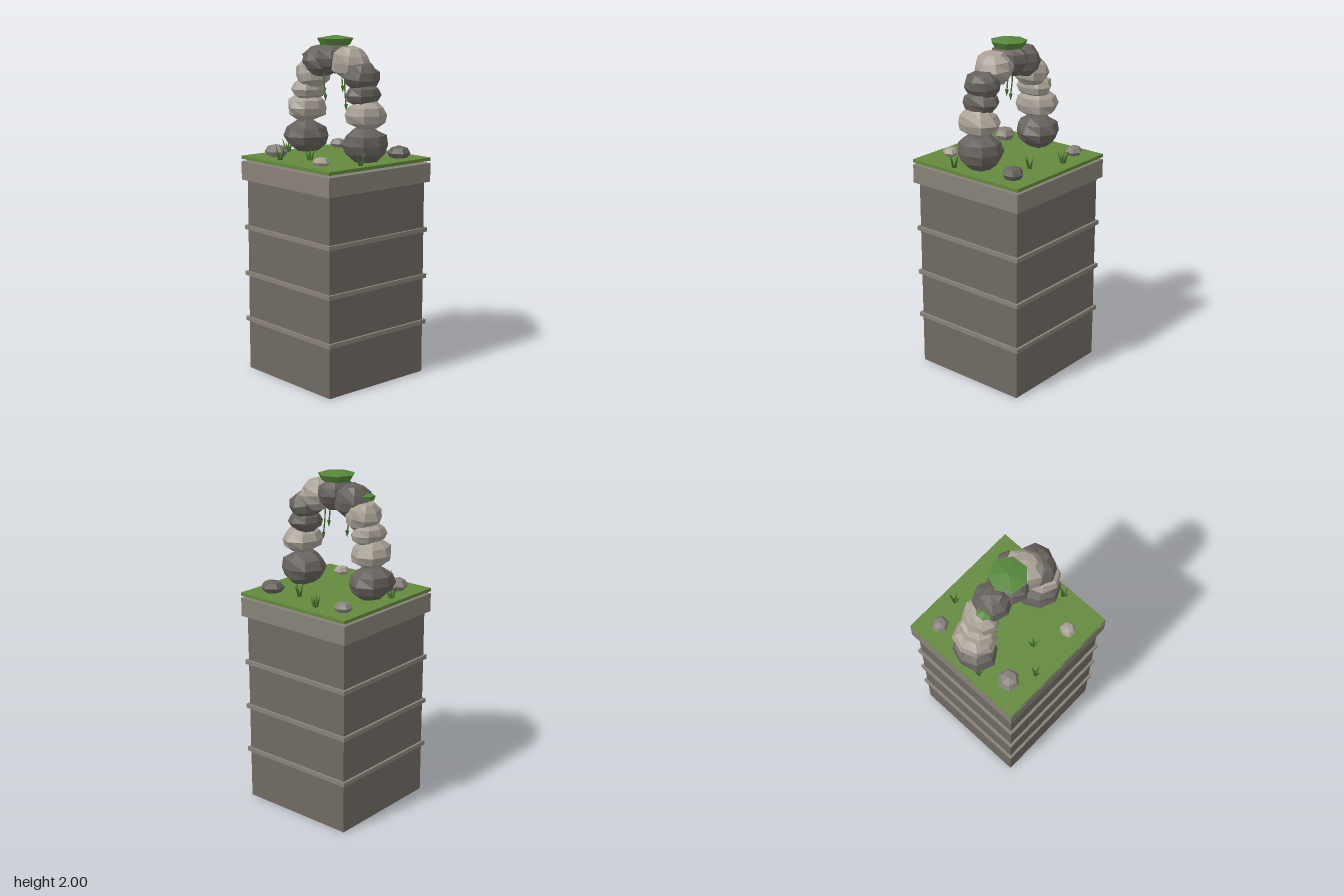
import * as THREE from 'three';

const mat = (color) => new THREE.MeshStandardMaterial({ color, flatShading: true });
const M = {
  wall: mat(0x6f6a62), trim: mat(0x878178), grass: mat(0x638a3c), moss: mat(0x55863a), blade: mat(0x44702c),
  light: mat(0xa8a196), mid: mat(0x87827b), dark: mat(0x66625d),
};

function add(parent, name, geometry, material, x = 0, y = 0, z = 0) {
  const mesh = new THREE.Mesh(geometry, material);
  mesh.name = name;
  mesh.position.set(x, y, z);
  parent.add(mesh);
  return mesh;
}

// Faceted boulder: a coarse sphere whose vertices move in or out by a repeatable amount
function boulder(rx, ry, rz, seed, sides = 8, rings = 6, rough = 0.16) {
  const g = new THREE.SphereGeometry(1, sides, rings);
  const p = g.attributes.position;
  for (let i = 0; i < p.count; i++) {
    const [a, b, c] = [p.getX(i), p.getY(i), p.getZ(i)].map((v) => Math.round(v * 100));
    const h = Math.sin(a * 1.27 + b * 3.11 + c * 2.23 + seed * 7.7) * 437.58;
    const k = 1 + (h - Math.floor(h) - 0.5) * rough;
    p.setXYZ(i, p.getX(i) * k * rx, p.getY(i) * k * ry, p.getZ(i) * k * rz);
  }
  g.computeVertexNormals();
  return g;
}

// Moss pad: shallow cap with a tapered rim
function mossPad(r, h, sides) {
  const profile = [[0, 0], [r * 0.8, 0], [r, h * 0.68], [0, h]].map(([x, y]) => new THREE.Vector2(x, y));
  return new THREE.LatheGeometry(profile, sides);
}

export function createModel() {
  const root = new THREE.Group();

  // Square pillar with string courses, capstone and turf
  const pillar = new THREE.Group();
  pillar.name = 'pillar';
  root.add(pillar);
  add(pillar, 'shaft', new THREE.BoxGeometry(0.73, 1.155, 0.73), M.wall, 0, 0.5775);
  for (const y of [0.31, 0.59, 0.87]) add(pillar, 'band', new THREE.BoxGeometry(0.76, 0.025, 0.76), M.trim, 0, y);
  add(pillar, 'capstone', new THREE.BoxGeometry(0.78, 0.11, 0.78), M.trim, 0, 1.21);
  add(pillar, 'turf', new THREE.BoxGeometry(0.78, 0.019, 0.78), M.grass, 0, 1.2875);

  // Arch of stacked boulders: x, y, rx, ry, rz, shade
  const arch = new THREE.Group();
  arch.name = 'arch';
  root.add(arch);
  [
    [-0.26, 1.395, 0.125, 0.1, 0.135, 'dark'],
    [-0.255, 1.565, 0.115, 0.085, 0.125, 'light'],
    [-0.235, 1.675, 0.09, 0.07, 0.11, 'light'],
    [-0.2, 1.77, 0.095, 0.09, 0.11, 'light'],
    [-0.12, 1.85, 0.105, 0.095, 0.115, 'dark'],
    [0, 1.87, 0.09, 0.09, 0.13, 'dark'],
    [0.13, 1.85, 0.105, 0.095, 0.12, 'light'],
    [0.225, 1.77, 0.09, 0.085, 0.115, 'dark'],
    [0.235, 1.675, 0.095, 0.07, 0.11, 'dark'],
    [0.26, 1.565, 0.11, 0.085, 0.125, 'light'],
    [0.25, 1.395, 0.13, 0.105, 0.135, 'dark'],
  ].forEach(([x, y, rx, ry, rz, shade], i) => {
    const stone = add(arch, 'archStone', boulder(rx, ry, rz, i + 1), M[shade], x, y);
    stone.rotation.z = y > 1.7 ? -x * 0.8 : 0;
  });
  add(arch, 'topMoss', mossPad(0.107, 0.055, 7), M.moss, 0, 1.945).rotation.y = 0.3;
  add(arch, 'sideMoss', mossPad(0.045, 0.038, 6), M.moss, -0.205, 1.857, 0.025);

  // Hanging vines with leaf tips: x at top, x at tip, y at tip
  const vines = new THREE.Group();
  vines.name = 'vines';
  root.add(vines);
  for (const [x0, x1, y1, z] of [[-0.07, -0.053, 1.615, 0.03], [0.03, 0.04, 1.67, -0.02], [0.11, 0.125, 1.575, 0.03]]) {
    const path = new THREE.CatmullRomCurve3([
      new THREE.Vector3(x0, 1.84, z),
      new THREE.Vector3(x0 + 0.003, (1.84 + y1) / 2, z),
      new THREE.Vector3(x1, y1 + 0.03, z),
    ]);
    add(vines, 'vine', new THREE.TubeGeometry(path, 5, 0.005, 4), M.blade);
    add(vines, 'vineLeaf', new THREE.ConeGeometry(0.014, 0.04, 4), M.blade, x1, y1 + 0.02, z).rotation.x = Math.PI;
  }

  // Loose stones on the turf: x, z, radius, shade
  [[-0.275, -0.265, 0.054, 'mid'], [0.265, -0.255, 0.068, 'dark'], [-0.25, 0.24, 0.07, 'mid'], [0.195, 0.275, 0.049, 'light']]
    .forEach(([x, z, r, shade], i) => {
      const stone = add(root, 'looseStone', boulder(r, r * 0.62, r * 0.92, i + 20, 6, 4, 0.1), M[shade], x, 1.297 + r * 0.4, z);
      stone.rotation.y = 0.5 + i * 0.15;
    });

  // Grass tufts: four splayed blades each
  [[-0.11, -0.31], [0.085, -0.225], [-0.33, 0.09], [0.34, 0.115], [0, 0.195], [-0.115, 0.32]].forEach(([x, z], i) => {
    const tuft = new THREE.Group();
    tuft.name = 'grassTuft';
    tuft.position.set(x, 1.295, z);
    tuft.rotation.y = i * 0.9 + 0.4;
    root.add(tuft);
    for (let k = 0; k < 4; k++) {
      const height = 0.075 + 0.014 * (k % 2);
      const blade = new THREE.ConeGeometry(0.01, height, 3).translate(0, height / 2, 0);
      const mesh = add(tuft, 'grassBlade', blade, M.blade, 0.006 * Math.cos(k * Math.PI / 2), 0, -0.006 * Math.sin(k * Math.PI / 2));
      mesh.rotation.set(0, k * Math.PI / 2, -0.32);
    }
  });

  return root;
}
